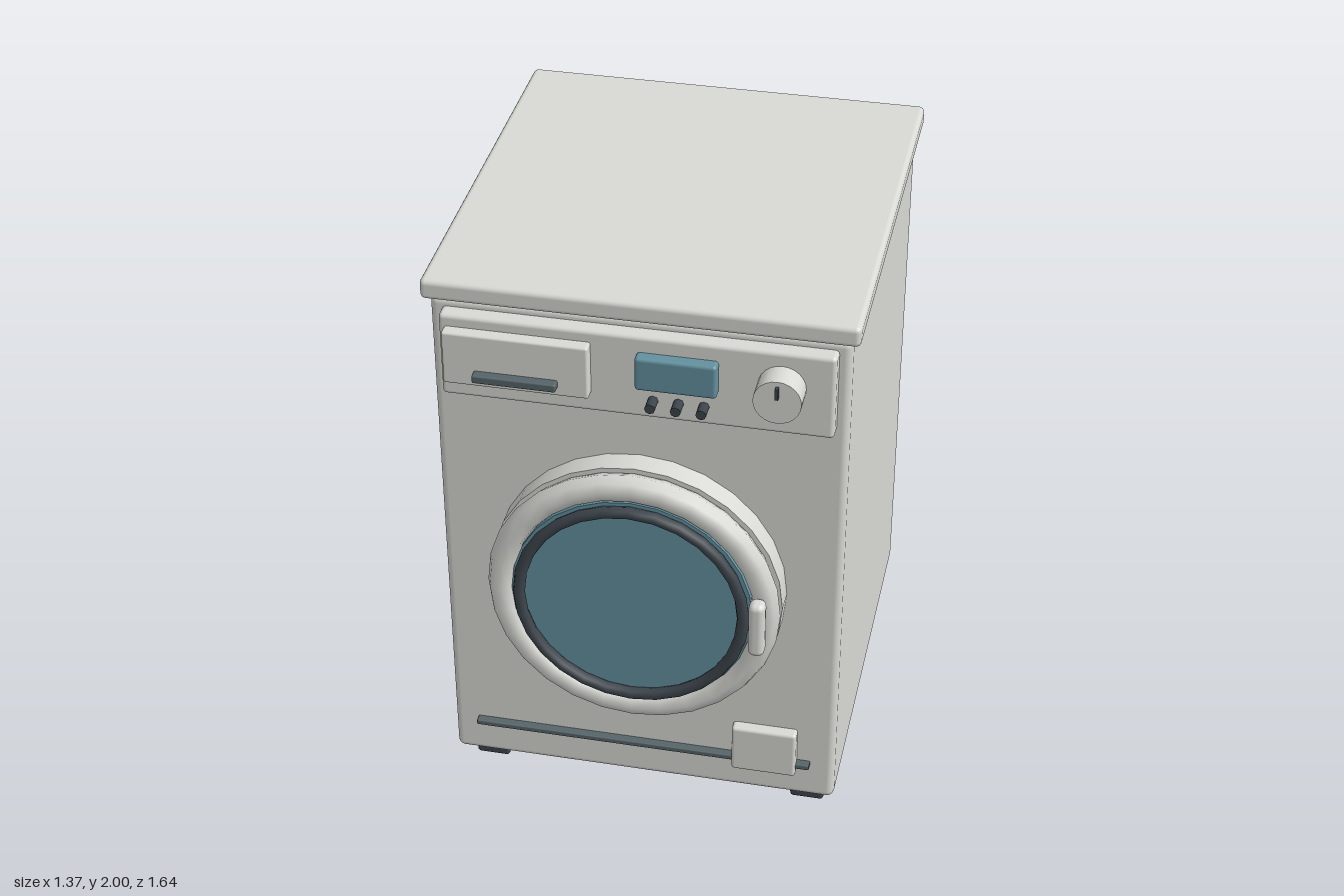
import * as THREE from 'three';
import { RoundedBoxGeometry } from 'three/addons/geometries/RoundedBoxGeometry.js';

const material = (name, color) => {
  const m = new THREE.MeshStandardMaterial({ color });
  m.name = name;
  return m;
};

export function createModel() {
  const model = new THREE.Group();
  model.name = 'washingMachine';

  const enamel = material('enamel grey', 0xd9d9d5);
  const glass = material('teal glass', 0x6391a0);
  const rubber = material('dark rubber', 0x3d454c);
  const slate = material('slate trim', 0x56656a);

  const add = (name, geometry, mat, x, y, z, parent = model) => {
    const mesh = new THREE.Mesh(geometry, mat);
    mesh.name = name;
    mesh.position.set(x, y, z);
    parent.add(mesh);
    return mesh;
  };

  // Rounded box given by its extents on each axis
  const block = (name, mat, [x0, x1], [y0, y1], [z0, z1], radius, parent) =>
    add(name, new RoundedBoxGeometry(x1 - x0, y1 - y0, z1 - z0, 2, radius), mat,
      (x0 + x1) / 2, (y0 + y1) / 2, (z0 + z1) / 2, parent);

  // Cylinder lying along z from z0 to z1
  const disc = (name, mat, r, x, y, z0, z1, sides, parent) =>
    add(name, new THREE.CylinderGeometry(r, r, z1 - z0, sides).rotateX(Math.PI / 2), mat,
      x, y, (z0 + z1) / 2, parent);

  // Cabinet and worktop
  block('cabinet', enamel, [-0.66, 0.66], [0.09, 1.935], [-0.795, 0.6], 0.025);
  block('worktop', enamel, [-0.685, 0.685], [1.93, 2], [-0.82, 0.62], 0.018);

  // Feet
  for (const x of [-0.557, 0.557]) {
    for (const z of [-0.65, 0.46]) {
      block('foot', rubber, [x - 0.058, x + 0.058], [0, 0.095], [z - 0.058, z + 0.058], 0.012);
    }
  }

  // Control panel with detergent drawer, display, buttons and dial
  const controls = new THREE.Group();
  controls.name = 'controls';
  model.add(controls);
  block('controlPanel', enamel, [-0.62, 0.62], [1.61, 1.905], [0.58, 0.65], 0.015, controls);
  block('detergentDrawer', enamel, [-0.602, -0.14], [1.68, 1.865], [0.63, 0.69], 0.008, controls);
  block('drawerHandle', slate, [-0.502, -0.236], [1.71, 1.738], [0.67, 0.72], 0.006, controls);
  block('display', glass, [0.004, 0.26], [1.732, 1.85], [0.64, 0.688], 0.012, controls);
  for (const x of [0.055, 0.135, 0.215]) {
    disc('button', rubber, 0.017, x, 1.678, 0.64, 0.7, 8, controls);
  }
  disc('dial', enamel, 0.075, 0.455, 1.783, 0.645, 0.737, 24, controls);
  add('dialPointer', new THREE.BoxGeometry(0.011, 0.038, 0.02), rubber, 0.455, 1.822, 0.744, controls);

  // Round door
  const door = new THREE.Group();
  door.name = 'door';
  door.position.set(0, 0.95, 0);
  model.add(door);
  disc('doorCollar', enamel, 0.481, 0, 0, 0.59, 0.68, 28, door);
  add('doorRing', new THREE.TorusGeometry(0.436, 0.045, 8, 28), enamel, 0, 0, 0.717, door);
  disc('doorGlass', glass, 0.395, 0, 0, 0.67, 0.745, 28, door);
  add('doorSeal', new THREE.TorusGeometry(0.368, 0.02, 8, 28), rubber, 0, 0, 0.759, door);
  block('doorHandle', enamel, [0.391, 0.445], [-0.103, 0.103], [0.758, 0.817], 0.022, door);

  // Plinth strip and filter hatch
  block('plinthStrip', slate, [-0.577, 0.577], [0.228, 0.247], [0.59, 0.628], 0.004);
  block('filterHatch', enamel, [0.313, 0.532], [0.198, 0.38], [0.59, 0.638], 0.012);

  return model;
}
